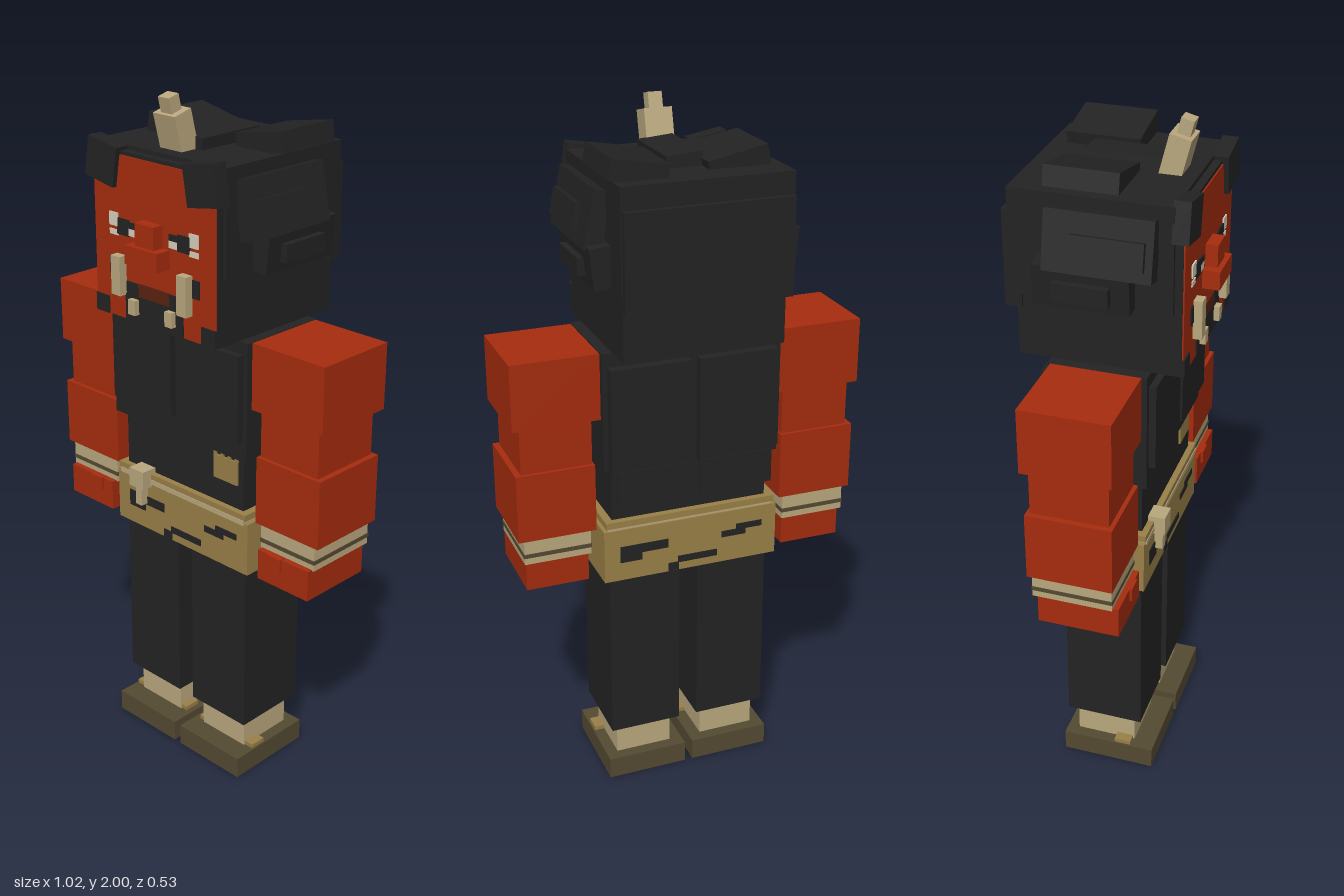
import * as THREE from 'three';

const material = (name, color) => {
  const m = new THREE.MeshStandardMaterial({ color });
  m.name = name;
  return m;
};

export function createModel() {
  const model = new THREE.Group();
  model.name = 'hornedFighter';
  const dark = material('charcoal', 0x232323);
  const red = material('redSkin', 0xa62c0e);
  const cream = material('cream', 0xbaa87e);
  const tan = material('tan', 0x9a8048);
  const sole = material('soleBrown', 0x544a32);
  const mouthBrown = material('mouthBrown', 0x5a2210);
  const white = material('eyeWhite', 0xd8d0bc);

  // Box from its limits, with optional tilt about its own centre
  function box(name, mat, [x0, x1], [y0, y1], [z0, z1], tilt = [0, 0, 0]) {
    const mesh = new THREE.Mesh(new THREE.BoxGeometry(x1 - x0, y1 - y0, z1 - z0), mat);
    mesh.position.set((x0 + x1) / 2, (y0 + y1) / 2, (z0 + z1) / 2);
    mesh.rotation.set(...tilt);
    mesh.name = name;
    model.add(mesh);
  }
  // The same box on the left and mirrored on the right
  function pair(name, mat, x, y, z, tilt = [0, 0, 0]) {
    box(name + 'Left', mat, x, y, z, tilt);
    box(name + 'Right', mat, [-x[1], -x[0]], y, z, [tilt[0], -tilt[1], -tilt[2]]);
  }

  // Feet and legs
  pair('sole', sole, [0.012, 0.255], [0, 0.065], [-0.13, 0.15]);
  pair('soleTrim', tan, [0.03, 0.25], [0.065, 0.078], [0.03, 0.08]);
  pair('sock', cream, [0.05, 0.22], [0.06, 0.17], [-0.095, 0.085]);
  pair('leg', dark, [0.028, 0.242], [0.16, 0.7], [-0.12, 0.11]);

  // Waist wrap, belt and buckle
  box('waistWrap', tan, [-0.265, 0.262], [0.685, 0.845], [-0.14, 0.125]);
  box('belt', cream, [-0.25, 0.25], [0.84, 0.855], [-0.136, 0.13]);
  box('beltTop', tan, [-0.258, 0.255], [0.853, 0.872], [-0.14, 0.128]);
  box('beltKnot', cream, [-0.18, -0.122], [0.83, 0.887], [0.11, 0.16]);
  box('beltTail', cream, [-0.165, -0.14], [0.77, 0.84], [0.11, 0.15]);
  const marks = [
    [-0.215, -0.07, 0.765, 0.792], [-0.215, -0.15, 0.742, 0.768],
    [0.14, 0.22, 0.782, 0.8], [0.095, 0.17, 0.765, 0.784],
    [-0.04, 0.08, 0.71, 0.73], [-0.07, -0.038, 0.687, 0.712],
  ];
  for (const [x0, x1, y0, y1] of marks) {
    box('frontMark', dark, [x0, x1], [y0, y1], [0.122, 0.128]);
    box('backMark', dark, [-x1, -x0], [y0, y1], [-0.143, -0.138]);
  }

  // Torso and vest
  box('waist', dark, [-0.235, 0.232], [0.86, 1.06], [-0.12, 0.11]);
  box('chest', dark, [-0.262, 0.26], [1.035, 1.38], [-0.145, 0.13]);
  pair('chestPanel', dark, [0.012, 0.245], [1.095, 1.345], [0.12, 0.15]);
  pair('backPanel', dark, [0.012, 0.245], [1.035, 1.34], [-0.172, -0.14]);
  pair('vestTail', dark, [0.012, 0.23], [0.94, 1.04], [-0.175, -0.168]);
  box('pocket', tan, [0.122, 0.212], [0.945, 1.016], [0.107, 0.116]);
  for (const x of [0.122, 0.149, 0.176, 0.203])
    box('pocketTooth', tan, [x, x + 0.01], [1.014, 1.026], [0.107, 0.116]);

  // Arms
  pair('shoulder', red, [0.263, 0.511], [1.19, 1.38], [-0.137, 0.115]);
  pair('elbow', red, [0.285, 0.488], [1.05, 1.195], [-0.12, 0.1]);
  pair('forearm', red, [0.28, 0.505], [0.855, 1.055], [-0.13, 0.112]);
  pair('wristWrap', cream, [0.295, 0.488], [0.78, 0.858], [-0.122, 0.105]);
  pair('wristStripe', sole, [0.293, 0.49], [0.8, 0.812], [-0.124, 0.107]);
  pair('hand', red, [0.3, 0.482], [0.692, 0.783], [-0.11, 0.122]);
  pair('thumb', red, [0.34, 0.388], [0.745, 0.785], [0.11, 0.13]);

  // Head with hair shell
  box('head', dark, [-0.229, 0.229], [1.38, 1.84], [-0.235, 0.212]);
  box('hairShell', dark, [-0.24, 0.238], [1.56, 1.852], [-0.25, 0.19]);
  box('hairBack', dark, [-0.236, 0.234], [1.52, 1.79], [-0.267, -0.22]);
  box('face', red, [-0.228, 0.228], [1.38, 1.83], [0.21, 0.216]);

  // Beard and mouth
  box('beard', dark, [-0.11, 0.11], [1.38, 1.455], [0.212, 0.22]);
  pair('beardCorner', dark, [0.178, 0.229], [1.38, 1.43], [0.212, 0.22]);
  pair('mouthCorner', dark, [0.06, 0.105], [1.45, 1.49], [0.212, 0.22]);
  box('mouth', mouthBrown, [-0.06, 0.06], [1.453, 1.492], [0.212, 0.219]);
  pair('cheekMark', dark, [0.145, 0.17], [1.5, 1.55], [0.212, 0.219]);
  pair('tusk', cream, [0.108, 0.143], [1.45, 1.56], [0.212, 0.241]);
  pair('fang', cream, [0.057, 0.084], [1.405, 1.447], [0.212, 0.236]);

  // Eyes and nose
  pair('eyeOuter', white, [0.135, 0.168], [1.635, 1.672], [0.212, 0.22]);
  pair('eyeLower', white, [0.135, 0.168], [1.61, 1.625], [0.212, 0.219]);
  pair('pupil', dark, [0.092, 0.137], [1.615, 1.66], [0.212, 0.22]);
  pair('eyeInner', white, [0.06, 0.092], [1.618, 1.638], [0.212, 0.22]);
  pair('brow', dark, [0.06, 0.092], [1.638, 1.655], [0.212, 0.22]);
  box('noseBridge', red, [-0.036, 0.034], [1.6, 1.672], [0.21, 0.25]);
  box('noseTip', red, [-0.062, 0.06], [1.558, 1.61], [0.21, 0.264]);

  // Hair tufts at the brow, the temples and the crown
  pair('browTuft', dark, [0.13, 0.24], [1.75, 1.86], [0.185, 0.23], [0, 0, 0.17]);
  pair('templeTuft', dark, [0.235, 0.285], [1.66, 1.82], [-0.14, 0.15], [0, 0, 0.2]);
  pair('templePatch', dark, [0.28, 0.302], [1.695, 1.77], [-0.065, 0.13], [0, 0, 0.2]);
  pair('sideTuft', dark, [0.232, 0.29], [1.565, 1.68], [-0.17, 0.09], [0, 0, -0.1]);
  pair('sideKnob', dark, [0.27, 0.31], [1.59, 1.64], [-0.11, 0.04]);
  box('crownTuftRight', dark, [-0.205, -0.035], [1.835, 1.89], [-0.165, 0.037], [0, 0, -0.2]);
  box('crownTuftLeft', dark, [0.09, 0.25], [1.845, 1.9], [-0.205, 0], [0, 0, 0.17]);
  box('crownTuftMiddle', dark, [-0.036, 0.064], [1.84, 1.888], [-0.117, 0.1], [0, 0, -0.08]);

  // Horn leaning forward
  box('hornBase', cream, [-0.04, 0.04], [1.84, 1.955], [0.1, 0.16], [0.25, 0, 0]);
  box('hornTip', cream, [-0.02, 0.02], [1.94, 1.995], [0.132, 0.168], [0.25, 0, 0]);

  return model;
}
